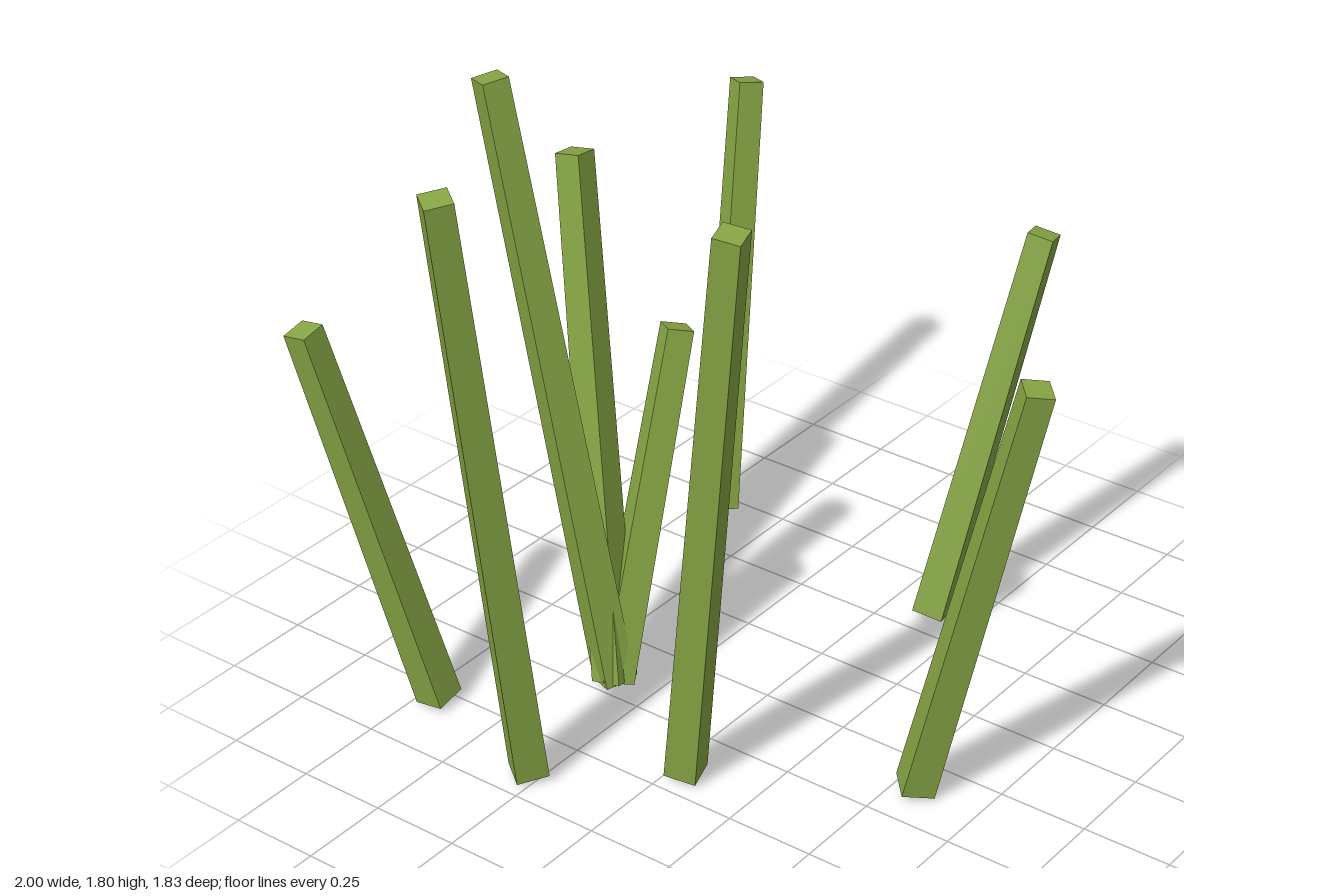
import * as THREE from 'three';

const BASE_Y = 0.015;
const UP = new THREE.Vector3(0, 1, 0);

// Stalks: base [x, z], tip [x, y, z], twist of the square section in degrees
const clump = [-0.2, -0.365];
const STALKS = [
  { base: [-0.66, -0.28], tip: [-0.95, 1.79, -0.235], twist: 9 },
  { base: [-0.545, -0.69], tip: [-0.76, 1.16, -0.88], twist: 45 },
  { base: [-0.42, 0.047], tip: [-0.556, 1.705, 0.31], twist: -29 },
  { base: [0.583, 0.137], tip: [0.833, 1.135, 0.295], twist: -31 },
  { base: [0.68, -0.68], tip: [0.95, 1.25, -0.775], twist: 14 },
  { base: [-0.123, 0.565], tip: [-0.095, 1.275, 0.863], twist: 0 },
  // three stalks sharing one root
  { base: clump, tip: [-0.275, 1.735, -0.652], twist: 20 },
  { base: clump, tip: [-0.02, 1.45, -0.6], twist: -40 },
  { base: clump, tip: [0.095, 0.965, -0.364], twist: 8 },
];

// Tapered four-sided stalk leaning from its base to its tip
function makeStalk({ base, tip, twist }, material) {
  const from = new THREE.Vector3(base[0], BASE_Y, base[1]);
  const to = new THREE.Vector3(...tip);
  const axis = to.clone().sub(from);
  const geometry = new THREE.CylinderGeometry(0.051, 0.062, axis.length(), 4);
  geometry.rotateY(THREE.MathUtils.degToRad(twist));
  const stalk = new THREE.Mesh(geometry, material);
  stalk.position.copy(from).add(to).multiplyScalar(0.5);
  stalk.quaternion.setFromUnitVectors(UP, axis.normalize());
  return stalk;
}

export function createModel() {
  const group = new THREE.Group();
  group.name = 'grassStalks';
  const green = new THREE.MeshStandardMaterial({ color: 0x86a544, flatShading: true });
  STALKS.forEach((spec, i) => {
    const stalk = makeStalk(spec, green);
    stalk.name = `stalk${i + 1}`;
    group.add(stalk);
  });
  return group;
}
